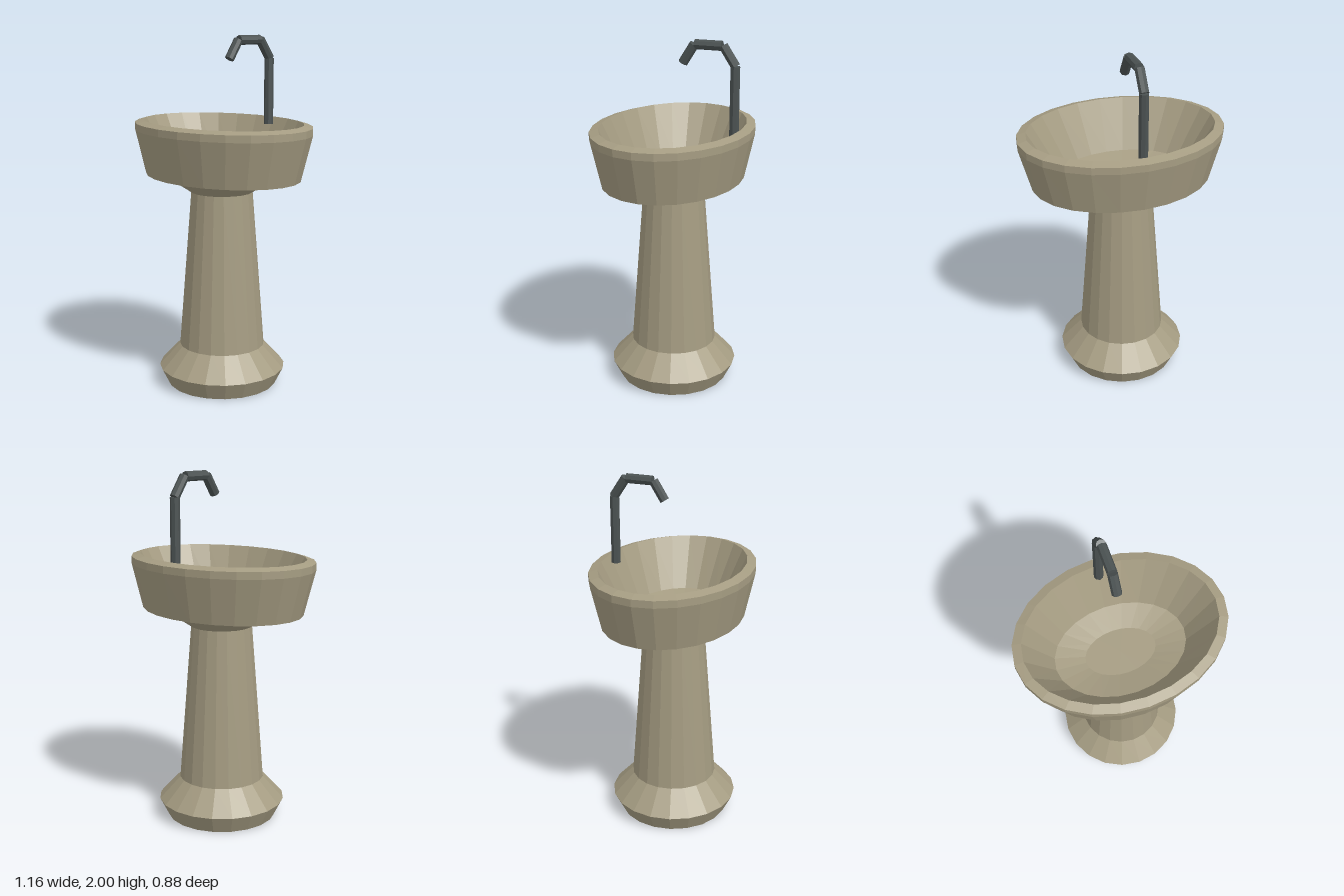
import * as THREE from 'three';

const ceramic = new THREE.MeshStandardMaterial({ color: 0xa59c82, side: THREE.DoubleSide });
ceramic.name = 'stone ceramic';
const metal = new THREE.MeshStandardMaterial({ color: 0x4b5252 });
metal.name = 'dark metal';

// Give every face its own flat normal
function faceted(geometry) {
  const flat = geometry.toNonIndexed();
  flat.computeVertexNormals();
  return flat;
}

// Lathe with elliptical rings, each given as [radiusX, radiusZ, y]
function ellipticalLathe(rings, sides) {
  const points = rings.map(([rx, , y]) => new THREE.Vector2(rx, y));
  const geometry = new THREE.LatheGeometry(points, sides);
  const pos = geometry.attributes.position;
  for (let i = 0; i < pos.count; i++) {
    const [rx, rz] = rings[i % rings.length];
    if (rx > 0) pos.setZ(i, pos.getZ(i) * rz / rx);
  }
  return faceted(geometry);
}

function addMesh(parent, name, geometry, material) {
  const mesh = new THREE.Mesh(geometry, material);
  mesh.name = name;
  parent.add(mesh);
  return mesh;
}

// Straight eight-sided pipe between two points in the x = 0 plane, [y, z]
function addPipe(parent, name, [y0, z0], [y1, z1]) {
  const from = new THREE.Vector3(0, y0, z0);
  const to = new THREE.Vector3(0, y1, z1);
  const dir = to.clone().sub(from);
  const geometry = faceted(new THREE.CylinderGeometry(0.027, 0.027, dir.length(), 8));
  const pipe = addMesh(parent, name, geometry, metal);
  pipe.position.copy(from).lerp(to, 0.5);
  pipe.quaternion.setFromUnitVectors(new THREE.Vector3(0, 1, 0), dir.normalize());
}

export function createModel() {
  const model = new THREE.Group();
  model.name = 'pedestalBasin';

  // Foot, tapering column and flared neck
  const pedestal = [[0, 0], [0.315, 0], [0.365, 0.1], [0.245, 0.23], [0.175, 1.13], [0.315, 1.222]];
  addMesh(model, 'pedestal', ellipticalLathe(pedestal.map(([r, y]) => [r, r, y]), 20), ceramic);

  // Oval bowl: outer skirt open below, bevelled rim, inner wall and dished floor
  const bowl = [
    [0.51, 0.385, 1.22],
    [0.58, 0.44, 1.475],
    [0.58, 0.44, 1.515],
    [0.53, 0.39, 1.53],
    [0.37, 0.264, 1.252],
    [0.2, 0.13, 1.215],
    [0, 0, 1.215],
  ];
  addMesh(model, 'bowl', ellipticalLathe(bowl, 24), ceramic);

  // Tap: upright pipe and a three-piece spout
  const tap = new THREE.Group();
  tap.name = 'tap';
  addPipe(tap, 'tapUpright', [1.49, -0.35], [1.87, -0.35]);
  addPipe(tap, 'spoutRise', [1.87, -0.352], [1.977, -0.28]);
  addPipe(tap, 'spoutTop', [1.975, -0.275], [1.975, -0.122]);
  addPipe(tap, 'spoutTip', [1.975, -0.118], [1.872, -0.053]);
  model.add(tap);

  return model;
}
